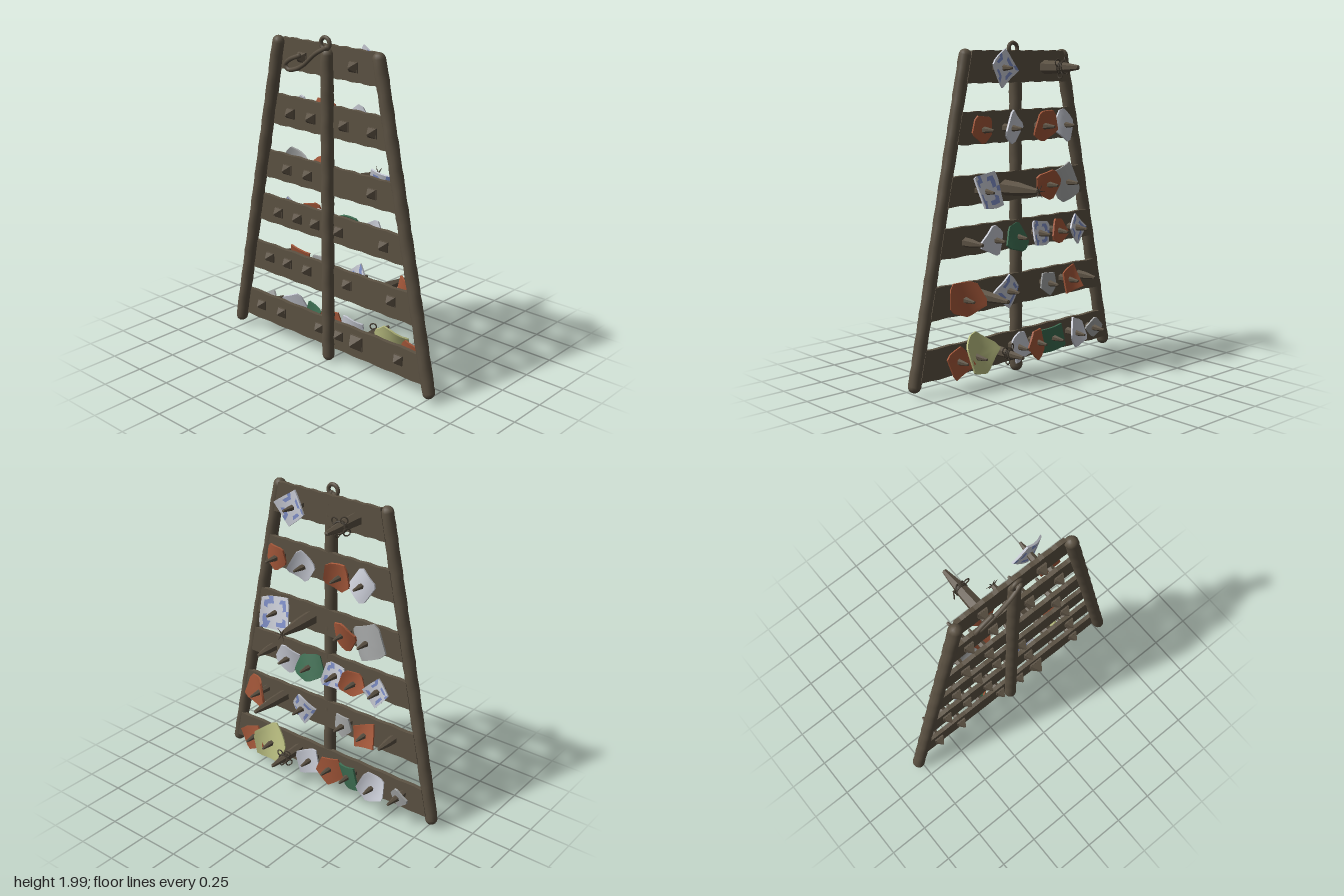
import * as THREE from 'three';
import { toCreasedNormals } from 'three/addons/utils/BufferGeometryUtils.js';

const mat = (name, color) => { const m = new THREE.MeshStandardMaterial({ color }); m.name = name; return m; };
const wood = mat('weathered wood', 0x5c5243);
const iron = mat('dull iron', 0x5a5042);
const wire = mat('dark wire', 0x453d32);
const glazes = {
  orange: mat('terracotta', 0xa5583a), white: mat('white glaze', 0xc9ccd6), blue: mat('blue paint', 0x7f8fc8),
  green: mat('green glaze', 0x3d6e52), yellow: mat('yellow glaze', 0xb9bd80), grey: mat('grey glaze', 0xa6a8a8),
};

let seed = 7;
const rnd = () => (seed = (seed * 16807) % 2147483647) / 2147483647;
const v = (x, y, z = 0.148) => new THREE.Vector3(x, y, z);

function add(parent, name, geometry, material) {
  const m = new THREE.Mesh(geometry, material);
  m.name = name;
  parent.add(m);
  return m;
}

// Knobbly rounded pole between two points
function pole(parent, name, a, b) {
  const g = new THREE.CapsuleGeometry(0.038, a.distanceTo(b), 5, 14, 50);
  const p = g.attributes.position;
  for (let i = 0; i < p.count; i++) {
    const x = p.getX(i), y = p.getY(i), z = p.getZ(i), t = Math.atan2(z, x);
    const k = 1 + 0.035 * Math.sin(y * 34 + 2 * t) + 0.025 * Math.sin(y * 71 + t);
    p.setXYZ(i, x * k, y, z * k);
  }
  g.computeVertexNormals();
  const m = add(parent, name, g, wood);
  m.position.lerpVectors(a, b, 0.5);
  m.quaternion.setFromUnitVectors(v(0, 1, 0), b.clone().sub(a).normalize());
}

// Plank with slanted ends that meet the side poles, and slightly uneven long edges
function plank(parent, y0, y1) {
  const s = new THREE.Shape(), n = 24;
  for (const [y, dir] of [[y0, 1], [y1, -1]]) {
    const end = 0.365 + (1.915 - y) * 0.212;
    for (let i = 0; i <= n; i++) {
      const x = dir * end * ((2 * i) / n - 1), py = y + 0.003 * Math.sin(i * 1.9 + y * 9);
      if (i || dir < 0) s.lineTo(x, py); else s.moveTo(x, py);
    }
  }
  const g = new THREE.ExtrudeGeometry(s, { depth: 0.026, bevelEnabled: false });
  add(parent, 'plank', g, wood).position.z = 0.11;
}

// Curved broken pottery piece, pierced by a spike along local y
function shard(parent, kind, r, sides) {
  const t = 0.006, seg = 20, radii = [0.05, 0.55, 0.8, 1];
  const prof = [...radii.map((q) => new THREE.Vector2(q, -t)), ...radii.reverse().map((q) => new THREE.Vector2(q, t))];
  const g = new THREE.LatheGeometry(prof, seg);
  const bend = (rnd() < 0.5 ? -1 : 1) * (2.2 + rnd() * 1.5);
  const wedge = (2 * Math.PI) / sides, phase = rnd() * wedge;
  const corner = Array.from({ length: sides }, () => 0.88 + rnd() * 0.3);
  const p = g.attributes.position;
  for (let i = 0; i < p.count; i++) {
    const x = p.getX(i), z = p.getZ(i);
    const a = (Math.atan2(z, x) + 4 * Math.PI - phase + 1e-4) % (2 * Math.PI);
    const c = Math.floor(a / wedge), f = a / wedge - c;
    const k = r * 1.2 * (corner[c % sides] * (1 - f) + corner[(c + 1) % sides] * f)
      * Math.cos(wedge / 2) / Math.cos(a % wedge - wedge / 2);
    p.setXYZ(i, x * k, p.getY(i) + bend * (x * k) ** 2, z * k * 1.05);
  }
  // Painted pieces get blue bands and blotches on both faces
  const bands = prof.length - 1;
  for (let i = 0; i < seg; i++) for (let j = 0; j < bands; j++) {
    const mid = j === 1 || j === 5, rim = j === 2 || j === 4;
    const painted = kind === 'blue' && ((mid && i % 5 < 3) || (rim && i % 7 === 0));
    g.addGroup((i * bands + j) * 6, 6, painted ? 1 : 0);
  }
  const base = kind === 'blue' ? glazes.white : glazes[kind];
  const m = add(parent, 'potteryShard', toCreasedNormals(g, 0.5), [base, glazes.blue]);
  m.position.y = 0.06 + rnd() * 0.025;
  m.rotation.set((rnd() - 0.5) * 0.6, rnd() * 0.8 - 0.4, (rnd() - 0.5) * 0.7);
}

// Tapered spike behind the plank, with a pyramid stud in front
function spike(parent, x, y, tip, width, stud) {
  const grp = new THREE.Group();
  grp.name = 'spike';
  grp.position.set(x, y, 0.115);
  grp.rotation.x = -Math.PI / 2;
  grp.rotation.z = (rnd() - 0.5) * 0.08;
  parent.add(grp);
  const len = 0.115 - tip;
  const pts = [[0, 0], [1, 0], [0.85, 0.45], [0.5, 0.8], [0.32, 0.98], [0, 1]]
    .map(([a, b]) => new THREE.Vector2(a * width, b * len));
  add(grp, 'spikeShaft', toCreasedNormals(new THREE.LatheGeometry(pts, 6), 0.3), iron);
  if (stud) {
    const plate = add(parent, 'studPlate', new THREE.BoxGeometry(stud, stud, 0.012), iron);
    plate.position.set(x, y, 0.14);
    const g = new THREE.CylinderGeometry(0.006, stud * 0.68, stud * 0.65, 4).toNonIndexed();
    g.rotateY(Math.PI / 4).rotateX(Math.PI / 2).computeVertexNormals();
    add(parent, 'studPyramid', g, iron).position.set(x, y, 0.146 + stud * 0.32);
  }
  return grp;
}

// Wire windings with loose loops around a spike
function windings(grp, r) {
  for (let i = 0; i < 3; i++) {
    const m = add(grp, 'wireWinding', new THREE.TorusGeometry(r, 0.005, 5, 16), wire);
    m.position.y = 0.14 + i * 0.013;
    m.rotation.set(Math.PI / 2 + (i - 1) * 0.2, 0.1 * i, 0);
  }
  for (let i = 0; i < 4; i++) {
    const a = 0.6 + i * 1.5;
    const m = add(grp, 'wireLoop', new THREE.TorusGeometry(0.02, 0.004, 5, 12), wire);
    m.position.set(Math.cos(a) * (r + 0.014), 0.152, Math.sin(a) * (r + 0.014));
    m.rotation.set(Math.PI / 2, 0.5 * i, 0);
  }
}

// Splinters bursting from a spike tip
function tuft(grp) {
  for (let k = 0; k < 6; k++) {
    const m = add(grp, 'tuftSplinter', new THREE.ConeGeometry(0.006, 0.05, 4).translate(0, 0.025, 0), wire);
    m.position.y = 0.282;
    m.rotation.set(0, k * 1.05, 1.35, 'YXZ');
  }
}

// One plank with its shard-bearing spikes: [x, colour, shard scale, stud size]
const shardSize = { orange: 0.08, white: 0.084, blue: 0.085, green: 0.09, yellow: 0.105, grey: 0.07 };
function row(root, y0, y1, y, items) {
  plank(root, y0, y1);
  items.forEach(([x, kind, scale = 1, stud = 0.06], i) => {
    shard(spike(root, x, y, -0.045, 0.024, stud), kind, shardSize[kind] * scale, 4 + (i % 2));
  });
}

export function createModel() {
  const root = new THREE.Group();
  root.name = 'spikedRack';
  seed = 7;

  // Frame
  for (const s of [-1, 1]) pole(root, 'sidePole', v(s * 0.77, 0.075), v(s * 0.38, 1.915));
  pole(root, 'centrePole', v(0, 0.05), v(0, 1.89));

  // Planks with shards, top to bottom
  row(root, 1.76, 1.943, 1.845, [[0.19, 'blue']]);
  row(root, 1.415, 1.6, 1.5, [[-0.3, 'white'], [-0.135, 'orange'], [0.12, 'white'], [0.33, 'orange', 0.85]]);
  row(root, 1.07, 1.24, 1.15, [[-0.335, 'grey', 1.5], [-0.165, 'orange'], [0.33, 'blue', 1.35]]);
  row(root, 0.78, 0.95, 0.86, [[-0.415, 'blue', 0.9], [-0.255, 'orange', 0.9], [-0.11, 'blue'],
    [0.08, 'green', 0.9], [0.25, 'white', 1, 0]]);
  row(root, 0.44, 0.625, 0.545, [[-0.345, 'orange', 0.9], [-0.18, 'grey', 0.85], [0.145, 'blue'], [0.48, 'orange', 1.15]]);
  row(root, 0.095, 0.275, 0.195, [[-0.585, 'grey', 0.85], [-0.405, 'white'], [-0.22, 'green', 1, 0], [-0.08, 'orange'],
    [0.08, 'white'], [0.4, 'yellow', 1, 0], [0.54, 'orange']]);

  // Bare spikes, some dressed with wire or splinters
  windings(spike(root, -0.2, 1.845, -0.17, 0.042, 0.06), 0.034);
  windings(spike(root, 0.22, 0.195, -0.16, 0.034, 0.09), 0.028);
  tuft(spike(root, 0.12, 1.15, -0.17, 0.047, 0));
  spike(root, 0.335, 0.545, -0.17, 0.038, 0);
  spike(root, 0.42, 0.86, -0.04, 0.03, 0.06);
  spike(root, -0.5, 0.545, -0.04, 0.028, 0.06);

  // Hanging ring and hook
  add(root, 'hangingRing', new THREE.TorusGeometry(0.033, 0.012, 8, 24), iron).position.set(0.003, 1.955, 0.165);
  const path = new THREE.CatmullRomCurve3([v(0.02, 1.935, 0.17), v(-0.05, 1.895, 0.185), v(-0.15, 1.815, 0.185),
    v(-0.21, 1.785, 0.185), v(-0.265, 1.775, 0.187), v(-0.288, 1.8, 0.19), v(-0.25, 1.835, 0.19), v(-0.18, 1.865, 0.188)]);
  add(root, 'hook', new THREE.TubeGeometry(path, 48, 0.013, 8), iron);
  for (const t of [0, 1]) add(root, 'hookEnd', new THREE.SphereGeometry(0.015, 8, 6), iron).position.copy(path.getPoint(t));
  return root;
}
